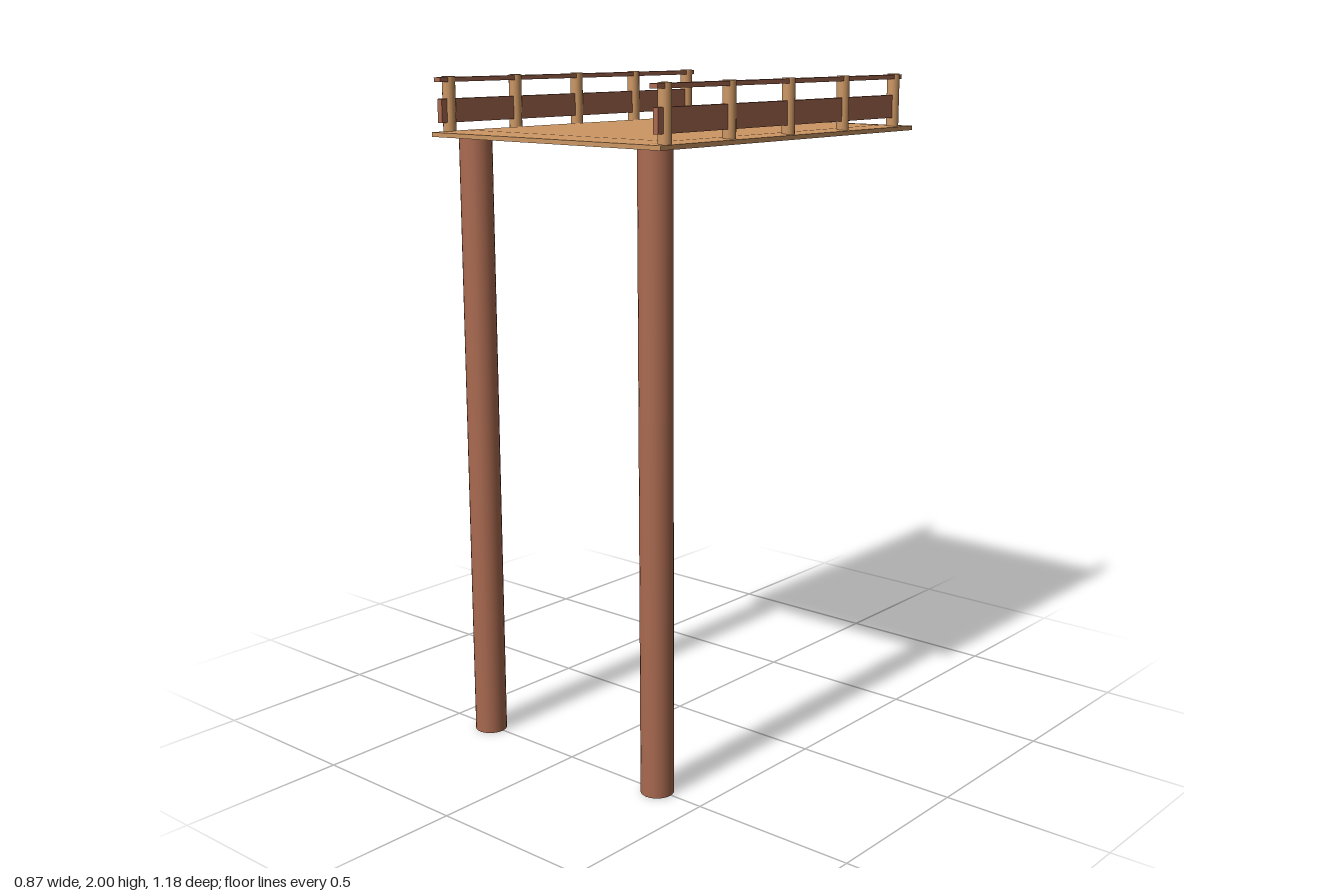
import * as THREE from 'three';
import { mergeVertices } from 'three/addons/utils/BufferGeometryUtils.js';

// Cylinder with normals blended across the rims
function softCylinder(radius, height, sides) {
  const g = new THREE.CylinderGeometry(radius, radius, height, sides);
  g.deleteAttribute('normal');
  g.deleteAttribute('uv');
  const merged = mergeVertices(g, 1e-4);
  merged.computeVertexNormals();
  return merged;
}

// Thin slab that tapers slightly towards its outer edge
function deckGeometry() {
  const g = new THREE.BoxGeometry(3, 1, 3, 3, 1, 3);
  const p = g.attributes.position;
  for (let i = 0; i < p.count; i++) {
    const x = p.getX(i), y = p.getY(i), z = p.getZ(i);
    const outerX = Math.abs(x) > 1, outerZ = Math.abs(z) > 1;
    const half = outerX || outerZ ? 0.0065 : 0.0115;
    p.setXYZ(i,
      Math.sign(x) * (outerX ? 0.437 : 0.385),
      1.8355 + Math.sign(y) * half,
      Math.sign(z) * (outerZ ? 0.59 : 0.5));
  }
  g.computeVertexNormals();
  return g;
}

export function createModel() {
  const model = new THREE.Group();
  const tan = new THREE.MeshStandardMaterial({ name: 'light wood', color: 0xcd9763 });
  const brown = new THREE.MeshStandardMaterial({ name: 'reddish wood', color: 0xaa6a50 });

  const add = (parent, name, geometry, material, x, y, z) => {
    const mesh = new THREE.Mesh(geometry, material);
    mesh.name = name;
    mesh.position.set(x, y, z);
    parent.add(mesh);
  };

  add(model, 'deck', deckGeometry(), tan, 0, 0, 0);

  // Two tall supports under the front edge
  const pile = softCylinder(0.048, 1.83, 24);
  for (const side of [-1, 1]) add(model, side < 0 ? 'rightSupport' : 'leftSupport', pile, brown, side * 0.345, 0.915, 0.505);

  // Railings along both sides
  const post = new THREE.CylinderGeometry(0.019, 0.019, 0.16, 16);
  const board = new THREE.BoxGeometry(0.018, 0.068, 1.115);
  const handrail = new THREE.BoxGeometry(0.026, 0.013, 1.13);
  for (const side of [-1, 1]) {
    const railing = new THREE.Group();
    railing.name = side < 0 ? 'rightRailing' : 'leftRailing';
    railing.position.x = side < 0 ? -0.414 : 0.41;
    for (let i = 0; i < 5; i++) add(railing, 'railingPost', post, tan, 0, 1.92, 0.541 - i * 0.265);
    add(railing, 'sideBoard', board, brown, 0, 1.903, 0.02);
    add(railing, 'handrail', handrail, brown, 0, 1.991, 0.02);
    model.add(railing);
  }
  return model;
}
